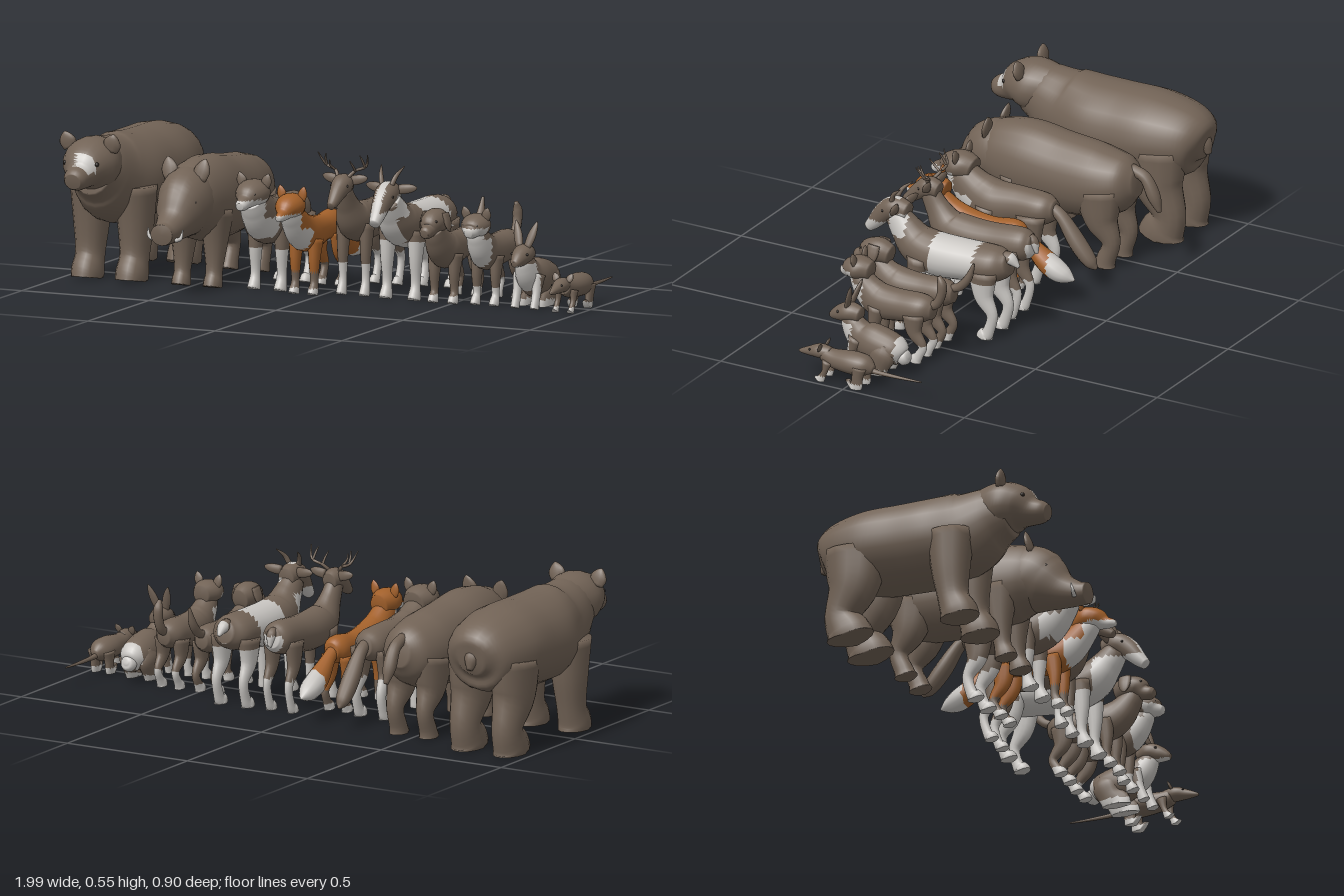
import * as THREE from 'three';

const mat = (name, color) => Object.assign(new THREE.MeshStandardMaterial({ color }), { name });
const BROWN = 0, WHITE = 1, ORANGE = 2;
const coats = [mat('brown fur', 0x726356), mat('white fur', 0xc9c6c2), mat('orange fur', 0xa2602a)];
const dark = mat('dark eye', 0x2b2521);

// Smooth skin through elliptical sections [x, y, z, halfWidth, halfDepth]; paint picks each face's coat.
function loft(name, rows, paint, segs = 16, steps = 5) {
  const path = new THREE.CatmullRomCurve3(rows.map(r => new THREE.Vector3(r[0], r[1], r[2])), false, 'catmullrom', 0.5);
  const size = new THREE.CatmullRomCurve3(rows.map(r => new THREE.Vector3(r[3], r[4], 0)), false, 'catmullrom', 0.5);
  const n = (rows.length - 1) * steps, pos = [], buckets = [[], [], []];
  const X = new THREE.Vector3(1, 0, 0), Z = new THREE.Vector3(0, 0, 1);
  for (let i = 0; i <= n; i++) {
    const p = path.getPoint(i / n), t = path.getTangent(i / n), s = size.getPoint(i / n);
    const ref = Math.abs(t.x) > 0.85 ? Z : X;
    const side = ref.clone().addScaledVector(t, -t.dot(ref)).normalize();
    const up = t.clone().cross(side);
    for (let j = 0; j < segs; j++) {
      const a = j / segs * Math.PI * 2;
      const v = p.clone().addScaledVector(side, Math.max(s.x, 0.001) * Math.cos(a))
        .addScaledVector(up, Math.max(s.y, 0.001) * Math.sin(a));
      pos.push(v.x, Math.max(v.y, 0), v.z);
    }
  }
  const c0 = pos.length / 3, first = rows[0], last = rows[rows.length - 1];
  pos.push(first[0], first[1], first[2], last[0], last[1], last[2]);
  const mid = (f, k) => (pos[f[0] * 3 + k] + pos[f[1] * 3 + k] + pos[f[2] * 3 + k]) / 3;
  const face = (...f) => buckets[paint(mid(f, 0), mid(f, 1), mid(f, 2))].push(...f);
  for (let j = 0; j < segs; j++) {
    const k = (j + 1) % segs;
    for (let i = 0; i < n; i++) {
      const a = i * segs + j, b = i * segs + k;
      face(a, b, a + segs);
      face(b, b + segs, a + segs);
    }
    face(c0, k, j);
    face(c0 + 1, n * segs + j, n * segs + k);
  }
  const g = new THREE.BufferGeometry();
  g.setAttribute('position', new THREE.Float32BufferAttribute(pos, 3));
  g.setIndex(buckets.flat());
  let start = 0;
  buckets.forEach((b, m) => { if (b.length) g.addGroup(start, b.length, m); start += b.length; });
  g.computeVertexNormals();
  const mesh = new THREE.Mesh(g, coats);
  mesh.name = name;
  return mesh;
}

// Central parts use rows [z, y, halfWidth, halfDepth]; legs shift them sideways.
const along = (rows, x = 0) => rows.map(([z, y, a, b = a]) => [x, y, z, a, b]);

function animal(a) {
  const g = new THREE.Group();
  g.name = a.name;
  g.position.x = a.x;
  const paint = a.paint || (() => BROWN);
  g.add(loft('body', along(a.body), paint, 20, 7), loft('head', along(a.head), paint, 20, 6));
  if (a.tail) g.add(loft('tail', along(a.tail), paint, 12));
  for (const s of [-1, 1]) {
    g.add(loft('frontLeg', along(a.fore, s * a.legX), paint, 14));
    g.add(loft('hindLeg', along(a.hind, s * a.legX), paint, 14));
    // ear: base, tip, half width, half thickness
    const [b, t, w, d] = a.ear;
    const ear = [0, 0.45, 0.8, 1].map((k, i) => [
      s * (b[0] + (t[0] - b[0]) * k), b[1] + (t[1] - b[1]) * k, b[2] + (t[2] - b[2]) * k,
      w * [0.8, 1, 0.6, 0.1][i], d * [1, 1, 0.7, 0.2][i]]);
    g.add(loft('ear', ear, paint, 10, 3));
    // horns and antler tines are lists of [x, y, z, radius]
    for (const h of a.horns || [])
      g.add(loft('horn', h.rows.map(([x, y, z, r]) => [s * x, y, z, r, r]), () => h.coat, 8, 4));
    const [ex, ey, ez, er] = a.eye;
    const eye = new THREE.Mesh(new THREE.SphereGeometry(er, 10, 8), dark);
    eye.name = 'eye';
    eye.position.set(s * ex, ey, ez);
    g.add(eye);
  }
  return g;
}

// Slim leg pair shared by the smaller quadrupeds
const slimLegs = (fz, hz, top, r) => ({
  fore: [[fz - 0.01, top, r * 1.5, r * 2], [fz, top * 0.6, r * 1.1, r * 1.3], [fz, top * 0.25, r * 0.8, r * 0.85],
    [fz + 0.01, 0.016, r, r * 1.3], [fz + 0.016, 0, r, r * 1.5]],
  hind: [[hz + 0.02, top, r * 1.6, r * 2.6], [hz + 0.015, top * 0.65, r * 1.2, r * 1.8], [hz - 0.02, top * 0.38, r * 0.8, r],
    [hz - 0.005, 0.03, r * 0.8, r], [hz + 0.008, 0.012, r, r * 1.4], [hz + 0.012, 0, r, r * 1.5]],
});

const bear = {
  name: 'bear', x: -0.83, legX: 0.087,
  paint: (x, y, z) => z > 0.375 && z < 0.41 && y > 0.42 && x > -0.01 ? WHITE : BROWN,
  body: [[-0.43, 0.35, 0.05, 0.05], [-0.385, 0.36, 0.125, 0.12], [-0.25, 0.36, 0.165, 0.155], [-0.1, 0.355, 0.165, 0.163],
    [0.02, 0.355, 0.16, 0.165], [0.13, 0.37, 0.128, 0.16], [0.22, 0.405, 0.105, 0.125], [0.29, 0.42, 0.08, 0.09]],
  head: [[0.18, 0.43, 0.08, 0.09], [0.27, 0.437, 0.105, 0.098], [0.33, 0.43, 0.09, 0.083], [0.38, 0.408, 0.055, 0.052],
    [0.42, 0.398, 0.043, 0.04], [0.44, 0.393, 0.03, 0.028]],
  tail: [[-0.39, 0.39, 0.03], [-0.42, 0.36, 0.028], [-0.438, 0.32, 0.01]],
  fore: [[0.1, 0.34, 0.075, 0.09], [0.1, 0.2, 0.064, 0.072], [0.11, 0.09, 0.053, 0.058], [0.13, 0.03, 0.057, 0.07], [0.135, 0, 0.055, 0.075]],
  hind: [[-0.27, 0.34, 0.078, 0.12], [-0.28, 0.21, 0.07, 0.1], [-0.325, 0.1, 0.054, 0.065], [-0.3, 0.03, 0.057, 0.085], [-0.292, 0, 0.055, 0.092]],
  ear: [[0.08, 0.49, 0.29], [0.097, 0.55, 0.3], 0.034, 0.014], eye: [0.062, 0.45, 0.368, 0.008],
};

const boar = {
  name: 'boar', x: -0.482, legX: 0.062,
  body: [[-0.35, 0.32, 0.04, 0.05], [-0.3, 0.315, 0.095, 0.1], [-0.2, 0.3, 0.122, 0.135], [-0.05, 0.3, 0.126, 0.15],
    [0.08, 0.312, 0.126, 0.155], [0.18, 0.315, 0.112, 0.14], [0.25, 0.305, 0.09, 0.11]],
  head: [[0.14, 0.33, 0.09, 0.11], [0.22, 0.32, 0.102, 0.122], [0.28, 0.285, 0.088, 0.105], [0.34, 0.25, 0.062, 0.066],
    [0.4, 0.23, 0.046, 0.045], [0.437, 0.226, 0.042, 0.038]],
  tail: [[-0.32, 0.37, 0.02], [-0.38, 0.345, 0.022], [-0.415, 0.28, 0.024], [-0.438, 0.225, 0.008]],
  fore: [[0.11, 0.28, 0.06, 0.085], [0.12, 0.15, 0.042, 0.048], [0.13, 0.06, 0.03, 0.032], [0.14, 0.02, 0.033, 0.04], [0.145, 0, 0.033, 0.043]],
  hind: [[-0.22, 0.29, 0.062, 0.1], [-0.235, 0.18, 0.05, 0.068], [-0.275, 0.1, 0.031, 0.036], [-0.255, 0.03, 0.031, 0.036], [-0.247, 0, 0.033, 0.045]],
  ear: [[0.055, 0.4, 0.24], [0.075, 0.475, 0.225], 0.032, 0.012], eye: [0.07, 0.33, 0.305, 0.007],
  horns: [{ coat: WHITE, rows: [[0.04, 0.205, 0.4, 0.008], [0.062, 0.215, 0.405, 0.007], [0.068, 0.245, 0.4, 0.002]] }],
};

const wolf = {
  name: 'wolf', x: -0.22, legX: 0.052, ...slimLegs(0.1, -0.11, 0.25, 0.022),
  paint: (x, y, z) => (z > 0.23 && y < 0.352) || (z > 0.15 && y < 0.28 && y > 0.2) || (y < 0.15 && z > -0.2) ? WHITE : BROWN,
  body: [[-0.165, 0.27, 0.03, 0.035], [-0.12, 0.268, 0.06, 0.058], [-0.02, 0.262, 0.064, 0.07], [0.08, 0.25, 0.074, 0.085],
    [0.15, 0.27, 0.066, 0.085], [0.21, 0.32, 0.055, 0.065], [0.245, 0.352, 0.045, 0.045]],
  head: [[0.17, 0.355, 0.04, 0.045], [0.22, 0.367, 0.062, 0.05], [0.265, 0.36, 0.052, 0.045], [0.295, 0.345, 0.03, 0.028],
    [0.325, 0.335, 0.023, 0.021], [0.34, 0.332, 0.014, 0.013]],
  tail: [[-0.14, 0.285, 0.02], [-0.19, 0.25, 0.024], [-0.25, 0.17, 0.032], [-0.305, 0.105, 0.026], [-0.332, 0.08, 0.005]],
  ear: [[0.042, 0.39, 0.22], [0.058, 0.438, 0.22], 0.02, 0.009], eye: [0.034, 0.372, 0.285, 0.005],
};

const fox = {
  name: 'fox', x: -0.063, legX: 0.037, ...slimLegs(0.13, -0.09, 0.2, 0.018),
  paint: (x, y, z) => z < -0.235 || (z > 0.24 && y < 0.312) || (z > 0.17 && y < 0.25 && y > 0.16) ? WHITE
    : y < 0.025 ? WHITE : y < 0.08 && z > -0.13 ? BROWN : ORANGE,
  body: [[-0.13, 0.225, 0.027, 0.03], [-0.09, 0.227, 0.048, 0.05], [0, 0.218, 0.046, 0.05], [0.1, 0.215, 0.056, 0.065],
    [0.17, 0.238, 0.052, 0.065], [0.23, 0.292, 0.043, 0.05], [0.26, 0.322, 0.035, 0.038]],
  head: [[0.19, 0.325, 0.032, 0.04], [0.24, 0.335, 0.053, 0.045], [0.28, 0.328, 0.045, 0.04], [0.31, 0.312, 0.024, 0.024],
    [0.338, 0.304, 0.016, 0.016], [0.352, 0.3, 0.009, 0.009]],
  tail: [[-0.1, 0.235, 0.022], [-0.15, 0.2, 0.026], [-0.21, 0.15, 0.039], [-0.26, 0.12, 0.04], [-0.3, 0.105, 0.028], [-0.332, 0.095, 0.004]],
  ear: [[0.036, 0.355, 0.235], [0.048, 0.405, 0.235], 0.018, 0.008], eye: [0.028, 0.338, 0.297, 0.004],
};

const deer = {
  name: 'deer', x: 0.103, legX: 0.045, ...slimLegs(0.07, -0.2, 0.26, 0.018),
  paint: (x, y, z) => y < 0.12 || (z < -0.25 && y < 0.29) ? WHITE : BROWN,
  body: [[-0.262, 0.28, 0.03, 0.035], [-0.22, 0.275, 0.057, 0.06], [-0.1, 0.262, 0.06, 0.066], [0, 0.258, 0.064, 0.073],
    [0.08, 0.275, 0.058, 0.07], [0.13, 0.335, 0.038, 0.048], [0.165, 0.395, 0.03, 0.036]],
  head: [[0.125, 0.405, 0.026, 0.03], [0.165, 0.412, 0.038, 0.038], [0.205, 0.39, 0.03, 0.032], [0.245, 0.358, 0.021, 0.021], [0.266, 0.345, 0.014, 0.014]],
  tail: [[-0.245, 0.31, 0.015], [-0.265, 0.29, 0.017], [-0.275, 0.25, 0.006]],
  ear: [[0.03, 0.425, 0.15], [0.088, 0.437, 0.145], 0.009, 0.018], eye: [0.031, 0.41, 0.193, 0.005],
  horns: [
    [[0.018, 0.435, 0.165, 0.007], [0.04, 0.46, 0.145, 0.006], [0.08, 0.478, 0.14, 0.005], [0.098, 0.522, 0.165, 0.002]],
    [[0.04, 0.46, 0.147, 0.005], [0.045, 0.48, 0.175, 0.004], [0.04, 0.5, 0.19, 0.002]],
    [[0.075, 0.475, 0.14, 0.005], [0.072, 0.5, 0.155, 0.004], [0.067, 0.518, 0.165, 0.002]],
  ].map(rows => ({ coat: BROWN, rows })),
};

const goat = {
  name: 'goat', x: 0.293, legX: 0.056, ...slimLegs(0.08, -0.215, 0.25, 0.022),
  paint: (x, y, z) => (z > -0.16 && z < 0.02) || y < 0.21 || z < -0.28 || (z > 0.12 && y < 0.34 && x < 0.035)
    || (z > 0.17 && Math.abs(x) < 0.016) || (z > 0.13 && z < 0.2 && y > 0.31 && y < 0.39 && x > 0.01) ? WHITE : BROWN,
  body: [[-0.275, 0.28, 0.035, 0.04], [-0.22, 0.27, 0.075, 0.064], [-0.1, 0.26, 0.08, 0.074], [0.02, 0.257, 0.078, 0.08],
    [0.1, 0.278, 0.07, 0.075], [0.15, 0.325, 0.052, 0.06], [0.19, 0.375, 0.04, 0.046]],
  head: [[0.14, 0.39, 0.03, 0.035], [0.195, 0.398, 0.042, 0.042], [0.24, 0.37, 0.035, 0.038], [0.28, 0.325, 0.026, 0.027], [0.305, 0.3, 0.018, 0.019]],
  tail: [[-0.25, 0.31, 0.018], [-0.28, 0.3, 0.022], [-0.312, 0.275, 0.006]],
  ear: [[0.034, 0.41, 0.17], [0.1, 0.418, 0.16], 0.01, 0.018], eye: [0.036, 0.39, 0.228, 0.005],
  horns: [{ coat: BROWN, rows: [[0.018, 0.425, 0.2, 0.01], [0.03, 0.46, 0.185, 0.008], [0.045, 0.49, 0.15, 0.002]] }],
};

const dog = {
  name: 'dog', x: 0.467, legX: 0.039, ...slimLegs(0.09, -0.1, 0.18, 0.018),
  paint: (x, y) => y < 0.03 ? WHITE : BROWN,
  body: [[-0.15, 0.2, 0.025, 0.03], [-0.11, 0.2, 0.05, 0.05], [-0.02, 0.193, 0.052, 0.056], [0.07, 0.19, 0.058, 0.068],
    [0.12, 0.21, 0.05, 0.064], [0.16, 0.25, 0.04, 0.048], [0.18, 0.28, 0.034, 0.036]],
  head: [[0.11, 0.295, 0.03, 0.035], [0.155, 0.305, 0.046, 0.046], [0.195, 0.3, 0.042, 0.042], [0.22, 0.28, 0.028, 0.028], [0.245, 0.273, 0.023, 0.023], [0.258, 0.27, 0.015, 0.014]],
  tail: [[-0.13, 0.22, 0.015], [-0.17, 0.235, 0.016], [-0.205, 0.275, 0.015], [-0.228, 0.335, 0.005]],
  ear: [[0.038, 0.337, 0.16], [0.057, 0.27, 0.165], 0.01, 0.024], eye: [0.028, 0.312, 0.217, 0.005],
};

const cat = {
  name: 'cat', x: 0.622, legX: 0.037, ...slimLegs(0.07, -0.11, 0.18, 0.017),
  paint: (x, y, z) => y < 0.07 || (z > 0.16 && y < 0.295) || (z > 0.115 && y < 0.25) ? WHITE : BROWN,
  body: [[-0.155, 0.195, 0.025, 0.03], [-0.11, 0.197, 0.054, 0.052], [-0.02, 0.19, 0.056, 0.058], [0.06, 0.19, 0.055, 0.065],
    [0.105, 0.215, 0.048, 0.06], [0.14, 0.255, 0.04, 0.045], [0.155, 0.28, 0.032, 0.034]],
  head: [[0.1, 0.295, 0.03, 0.033], [0.145, 0.3, 0.054, 0.042], [0.18, 0.293, 0.047, 0.038], [0.2, 0.282, 0.03, 0.026], [0.222, 0.277, 0.014, 0.014]],
  tail: [[-0.13, 0.21, 0.017], [-0.165, 0.225, 0.017], [-0.185, 0.265, 0.017], [-0.187, 0.305, 0.017], [-0.175, 0.335, 0.007]],
  ear: [[0.034, 0.32, 0.15], [0.048, 0.365, 0.155], 0.018, 0.008], eye: [0.026, 0.305, 0.2, 0.005],
};

const rabbit = {
  name: 'rabbit', x: 0.782, legX: 0.038,
  paint: (x, y, z) => z < -0.105 || (z > 0.07 && y < 0.165) || y < 0.025 ? WHITE : BROWN,
  body: [[-0.115, 0.065, 0.03, 0.035], [-0.085, 0.085, 0.056, 0.062], [-0.01, 0.1, 0.06, 0.072], [0.05, 0.12, 0.047, 0.06], [0.085, 0.16, 0.036, 0.045], [0.095, 0.19, 0.028, 0.03]],
  head: [[0.05, 0.195, 0.025, 0.028], [0.095, 0.2, 0.038, 0.035], [0.135, 0.187, 0.03, 0.03], [0.165, 0.175, 0.018, 0.017], [0.176, 0.172, 0.01, 0.01]],
  tail: [[-0.1, 0.065, 0.015], [-0.12, 0.07, 0.03], [-0.14, 0.078, 0.024], [-0.147, 0.08, 0.008]],
  fore: [[0.05, 0.12, 0.022, 0.03], [0.07, 0.06, 0.016, 0.018], [0.085, 0.015, 0.015, 0.02], [0.09, 0, 0.015, 0.023]],
  hind: [[-0.07, 0.12, 0.015, 0.02], [-0.06, 0.085, 0.03, 0.05], [-0.04, 0.04, 0.026, 0.045], [-0.02, 0.012, 0.02, 0.055], [-0.018, 0, 0.02, 0.055]],
  ear: [[0.014, 0.222, 0.1], [0.042, 0.315, 0.07], 0.017, 0.009], eye: [0.03, 0.203, 0.13, 0.005],
};

const rat = {
  name: 'rat', x: 0.943, legX: 0.03,
  paint: (x, y) => y < 0.022 ? WHITE : BROWN,
  body: [[-0.095, 0.075, 0.012, 0.015], [-0.06, 0.083, 0.04, 0.038], [-0.01, 0.085, 0.047, 0.042], [0.06, 0.085, 0.036, 0.036], [0.11, 0.096, 0.026, 0.028]],
  head: [[0.08, 0.1, 0.022, 0.024], [0.125, 0.102, 0.029, 0.026], [0.165, 0.094, 0.019, 0.018], [0.2, 0.087, 0.009, 0.009], [0.211, 0.085, 0.004, 0.004]],
  tail: [[-0.07, 0.075, 0.014], [-0.11, 0.069, 0.009], [-0.2, 0.068, 0.006], [-0.29, 0.07, 0.003]],
  fore: [[0.08, 0.08, 0.014, 0.02], [0.09, 0.04, 0.01, 0.011], [0.105, 0.01, 0.01, 0.016], [0.112, 0, 0.011, 0.024]],
  hind: [[-0.05, 0.085, 0.02, 0.03], [-0.045, 0.05, 0.016, 0.022], [-0.04, 0.014, 0.012, 0.025], [-0.025, 0, 0.013, 0.042]],
  ear: [[0.022, 0.115, 0.115], [0.036, 0.143, 0.105], 0.014, 0.005], eye: [0.019, 0.107, 0.158, 0.004],
};

export function createModel() {
  const group = new THREE.Group();
  group.name = 'animalLineUp';
  for (const a of [bear, boar, wolf, fox, deer, goat, dog, cat, rabbit, rat]) group.add(animal(a));
  return group;
}
